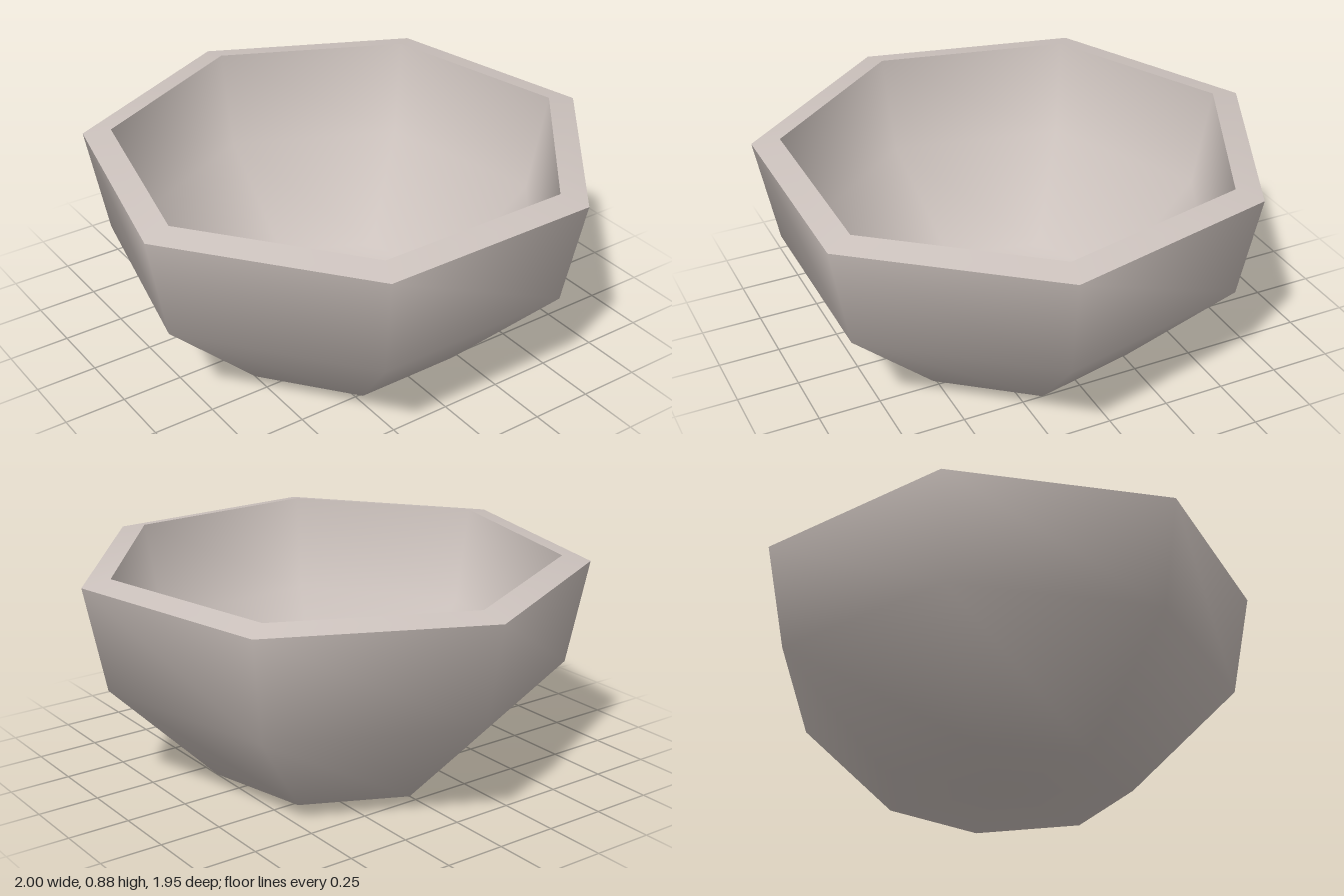
import * as THREE from 'three';

export function createModel() {
  const group = new THREE.Group();
  group.name = 'bowl';
  const stone = new THREE.MeshStandardMaterial({ color: 0xcdc3be });
  stone.name = 'warm grey';

  // Seven-sided turned shell, one corner pointing straight back
  const shell = (name, profile) => {
    const points = profile.map(([r, y]) => new THREE.Vector2(r, y));
    const mesh = new THREE.Mesh(new THREE.LatheGeometry(points, 7, Math.PI), stone);
    mesh.name = name;
    mesh.position.z = 0.05;
    group.add(mesh);
  };

  const outerRim = [1.026, 0.855];
  const innerRim = [0.912, 0.877];

  // Outside wall with its flat base
  shell('outerWall', [[0, 0], [0.513, 0], [0.944, 0.43], outerRim]);
  // Slightly sloped lip
  shell('rim', [outerRim, innerRim]);
  // Hollow inside, from the lip down to the floor
  shell('innerWall', [innerRim, [0.835, 0.48], [0.465, 0.11], [0, 0.11]]);

  return group;
}
